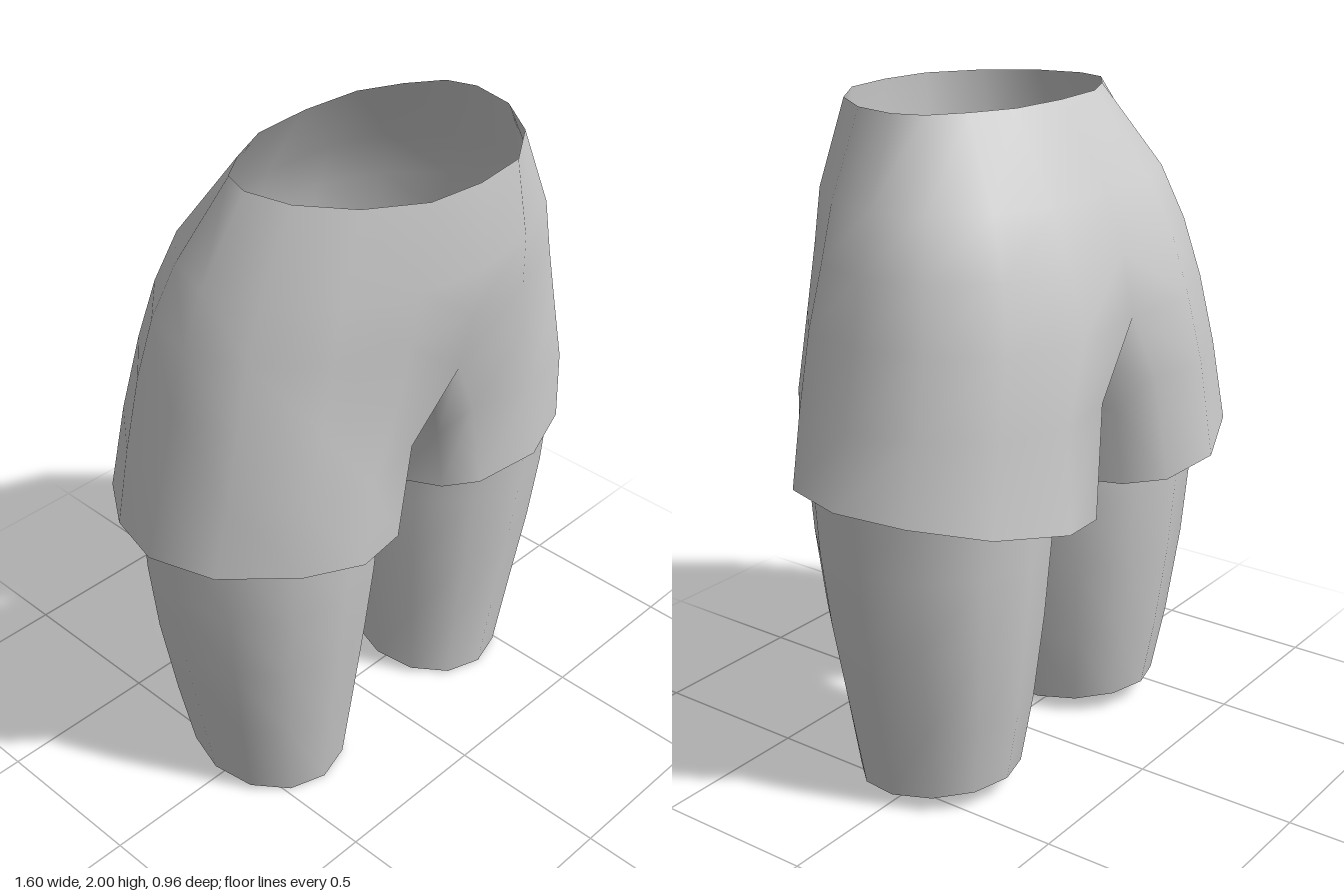
import * as THREE from 'three';
import { mergeVertices, mergeGeometries } from 'three/addons/utils/BufferGeometryUtils.js';

const material = new THREE.MeshStandardMaterial({ color: 0xcccccc, side: THREE.DoubleSide });

// Skin a list of cross-sections (top to bottom, running front -> left side -> back).
function loft(rows, closed) {
  const n = rows[0].length, index = [];
  for (let i = 0; i < rows.length - 1; i++) {
    for (let j = 0; j < (closed ? n : n - 1); j++) {
      const k = (j + 1) % n;
      const a = i * n + j, b = i * n + k, c = a + n, d = b + n;
      index.push(a, c, b, b, c, d);
    }
  }
  const g = new THREE.BufferGeometry();
  g.setAttribute('position', new THREE.Float32BufferAttribute(rows.flat(2), 3));
  g.setIndex(index);
  return g;
}

// Copy to the other side, turning the faces round again.
function mirror(g) {
  const m = g.clone().scale(-1, 1, 1), idx = m.index.array;
  for (let i = 0; i < idx.length; i += 3) [idx[i], idx[i + 1]] = [idx[i + 1], idx[i]];
  return m;
}

function smooth(...parts) {
  const g = mergeVertices(mergeGeometries(parts), 1e-4);
  g.computeVertexNormals();
  return g;
}

const hemHeight = (x, z) => 0.925 + 0.155 * (x - 0.38) + 0.05 * z;
const level = (y, pts) => pts.map(([x, z]) => [x, y, z]);

// Half sections of the hips, from front centre to back centre
const hips = [
  level(2, [[0, 0.46], [0.17, 0.44], [0.32, 0.34], [0.42, 0.2], [0.45, 0.06], [0.42, -0.03], [0.32, -0.1], [0.19, -0.16], [0, -0.175]]),
  level(1.76, [[0, 0.48], [0.21, 0.45], [0.41, 0.36], [0.54, 0.2], [0.585, 0.03], [0.54, -0.12], [0.42, -0.25], [0.24, -0.32], [0, -0.33]]),
  level(1.6, [[0, 0.45], [0.23, 0.435], [0.44, 0.36], [0.59, 0.2], [0.645, 0.02], [0.6, -0.16], [0.46, -0.31], [0.26, -0.39], [0, -0.39]]),
  level(1.42, [[0, 0.41], [0.26, 0.42], [0.48, 0.36], [0.64, 0.21], [0.69, 0.01], [0.64, -0.19], [0.5, -0.35], [0.27, -0.445], [0, -0.425]]),
];

// Crotch seam, back to front, which closes the last hip section into a leg opening
const seam = [[0, 1.25, -0.34], [0, 1.12, -0.2], [0, 1.06, 0], [0, 1.14, 0.17], [0, 1.28, 0.32]];

const thigh = [
  ...level(1.2, [[0.13, 0.36], [0.34, 0.41], [0.53, 0.36], [0.69, 0.21], [0.745, 0], [0.69, -0.2], [0.56, -0.37], [0.35, -0.45], [0.14, -0.42]]),
  [0.07, 1.1, -0.33], [0.04, 1.02, -0.17], [0.02, 0.98, 0], [0.035, 1.03, 0.15], [0.07, 1.1, 0.28],
];

const hemOutline = [
  [0.18, 0.36], [0.37, 0.41], [0.55, 0.35], [0.74, 0.2], [0.8, 0], [0.74, -0.2], [0.61, -0.39],
  [0.38, -0.48], [0.19, -0.44], [0.1, -0.34], [0.05, -0.19], [0.03, -0.02], [0.05, 0.14], [0.1, 0.28],
];
// Hem section drawn in towards the leg's middle by a scale and lifted
const hemRing = (s, lift) => hemOutline.map(([x, z]) => {
  const px = 0.4 + (x - 0.4) * s, pz = -0.02 + (z + 0.02) * s;
  return [px, hemHeight(x, z) + lift, pz];
});

// Inner leg: 12-sided tapered tube with slanted ends
function legSection(y, inner, outer, front, back, slant) {
  const ring = [];
  for (let i = 0; i < 12; i++) {
    const a = (i / 12) * Math.PI * 2;
    const x = (inner + outer) / 2 + (outer - inner) / 2 * Math.sin(a);
    const z = (front + back) / 2 + (front - back) / 2 * Math.cos(a);
    ring.push([x, slant ? slant(x, y, z) : y, z]);
  }
  return ring;
}

export function createModel() {
  const group = new THREE.Group();
  const add = (name, geometry) => {
    const mesh = new THREE.Mesh(geometry, material);
    mesh.name = name;
    group.add(mesh);
  };

  // Outer shorts
  const upper = loft(hips, false);
  const lower = loft([[...hips[3], ...seam], thigh, hemRing(1, 0)], true);
  add('shorts', smooth(upper, mirror(upper), lower, mirror(lower)));

  // Turned-in hem
  const lip = loft([hemRing(1, 0), hemRing(0.95, 0), hemRing(0.93, 0.06)], true);
  add('leftHem', smooth(lip));
  add('rightHem', smooth(mirror(lip)));

  // Fitted legs underneath
  const leg = loft([
    legSection(1, 0.05, 0.72, 0.37, -0.365, (x, y, z) => hemHeight(x, z) + 0.05),
    legSection(0.78, 0.055, 0.713, 0.35, -0.355),
    legSection(0.55, 0.075, 0.69, 0.32, -0.335),
    legSection(0.28, 0.105, 0.645, 0.28, -0.3),
    legSection(0, 0.14, 0.6, 0.24, -0.26, (x, y, z) => 0.13 * (0.24 - z)),
  ], true);
  add('leftLeg', smooth(leg));
  add('rightLeg', smooth(mirror(leg)));

  return group;
}
